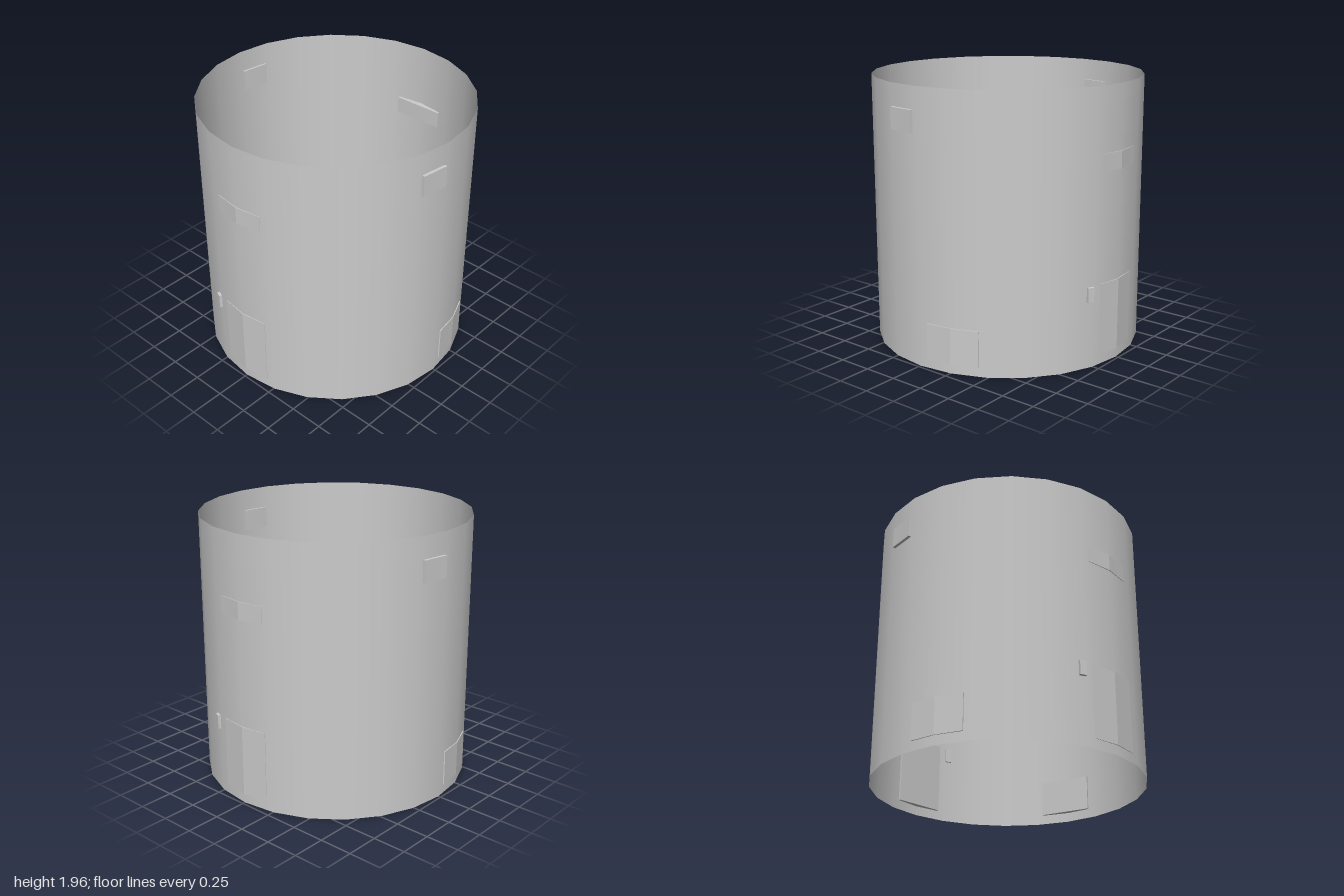
import * as THREE from 'three';

const material = new THREE.MeshStandardMaterial({ color: 0xcccccc });
const shellMaterial = new THREE.MeshStandardMaterial({ color: 0xcccccc, side: THREE.DoubleSide });

// Upright prism from a plan outline of [x, z] corners
function panel(name, outline, bottom, top) {
  const shape = new THREE.Shape(outline.map(([x, z]) => new THREE.Vector2(x, -z)));
  const geometry = new THREE.ExtrudeGeometry(shape, { depth: top - bottom, bevelEnabled: false });
  geometry.rotateX(-Math.PI / 2).translate(0, bottom, 0);
  const mesh = new THREE.Mesh(geometry, material);
  mesh.name = name;
  return mesh;
}

// Box set into the wall, its local z turned to point outwards
function block(name, size, position, turn) {
  const mesh = new THREE.Mesh(new THREE.BoxGeometry(...size), material);
  mesh.name = name;
  mesh.position.set(...position);
  mesh.rotation.y = turn;
  return mesh;
}

// Fittings of one half of the wall
function fittings(name) {
  const group = new THREE.Group();
  group.name = name;
  const frontOutline = [[-0.195, 0.937], [0.195, 0.937], [0.195, 0.958], [0, 0.986], [-0.195, 0.958]];
  const sideOutline = [[0.854, -0.435], [0.877, -0.442], [0.952, -0.256], [0.979, -0.067], [0.956, -0.059]];
  group.add(
    panel('door', frontOutline, 0.07, 0.59),
    panel('sign', frontOutline, 1.375, 1.5),
    panel('sidePanel', sideOutline, 0.07, 0.33),
    block('doorControl', [0.047, 0.105, 0.036], [-0.283, 0.538, 0.938], -0.4),
    block('upperWindow', [0.204, 0.155, 0.038], [0.966, 1.723, 0.127], Math.PI / 2 - 0.127)
  );
  return group;
}

export function createModel() {
  const model = new THREE.Group();
  model.name = 'roundWall';

  // Thin open ring wall
  const wall = new THREE.Mesh(new THREE.CylinderGeometry(0.98, 0.98, 1.96, 24, 1, true), shellMaterial);
  wall.name = 'wall';
  wall.position.y = 0.98;
  model.add(wall);

  // Same fittings on both halves, half a turn apart
  const front = fittings('frontFittings');
  const back = fittings('backFittings');
  back.rotation.y = Math.PI;
  model.add(front, back);
  return model;
}
